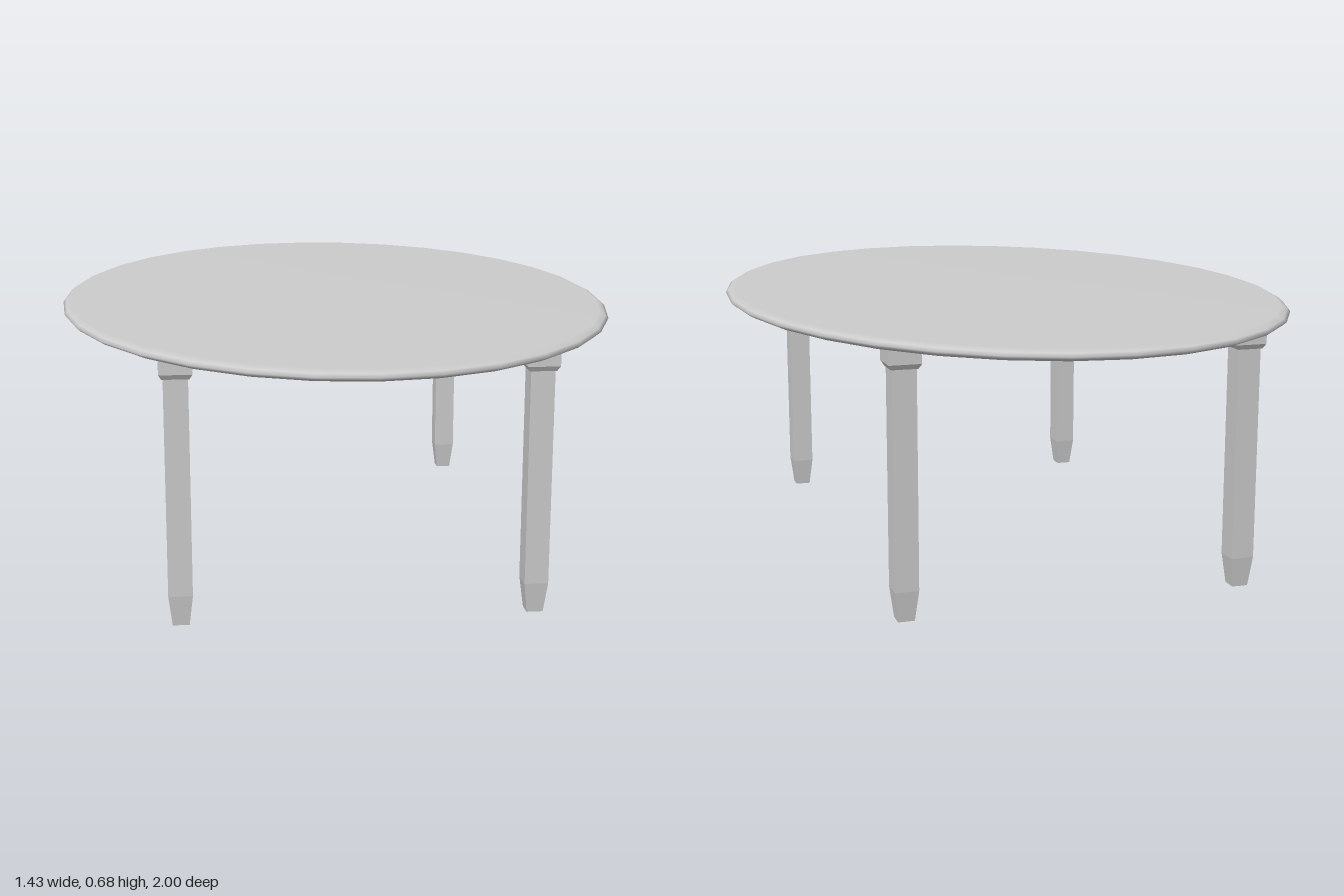
import * as THREE from 'three';
import { mergeVertices } from 'three/addons/utils/BufferGeometryUtils.js';

const points = (list) => list.map(([r, y]) => new THREE.Vector2(r, y));

// Oval top: a thin disc with a pointed rim, stretched along z, smooth normals
function makeTop() {
  const profile = points([[0, 0.652], [0.97, 0.652], [0.99, 0.659], [1, 0.666], [0.99, 0.673], [0.97, 0.68], [0, 0.68]]);
  let geometry = new THREE.LatheGeometry(profile, 32);
  geometry.scale(0.715, 1, 1);
  geometry.deleteAttribute('uv');
  geometry.deleteAttribute('normal');
  geometry = mergeVertices(geometry, 1e-4);
  geometry.computeVertexNormals();
  const top = new THREE.Mesh(geometry, new THREE.MeshStandardMaterial({ color: 0xcccccc }));
  top.name = 'tableTop';
  return top;
}

// Square leg: tapered foot, straight shaft, chamfered collar under the top
function makeLegGeometry() {
  const widths = [[0, 0], [0.04, 0], [0.058, 0.075], [0.058, 0.6], [0.064, 0.6], [0.078, 0.612], [0.078, 0.653], [0, 0.653]];
  const profile = points(widths.map(([w, y]) => [w / Math.SQRT2, y]));
  return new THREE.LatheGeometry(profile, 4, Math.PI / 4);
}

export function createModel() {
  const model = new THREE.Group();
  model.name = 'ovalTable';
  model.add(makeTop());

  const legGeometry = makeLegGeometry();
  const legMaterial = new THREE.MeshStandardMaterial({ color: 0xcccccc, flatShading: true });
  for (const [xName, x] of [['Left', 0.427], ['Right', -0.427]]) {
    for (const [zName, z] of [['front', 0.645], ['back', -0.645]]) {
      const leg = new THREE.Mesh(legGeometry, legMaterial);
      leg.name = `${zName}${xName}Leg`;
      leg.position.set(x, 0, z);
      model.add(leg);
    }
  }
  return model;
}
